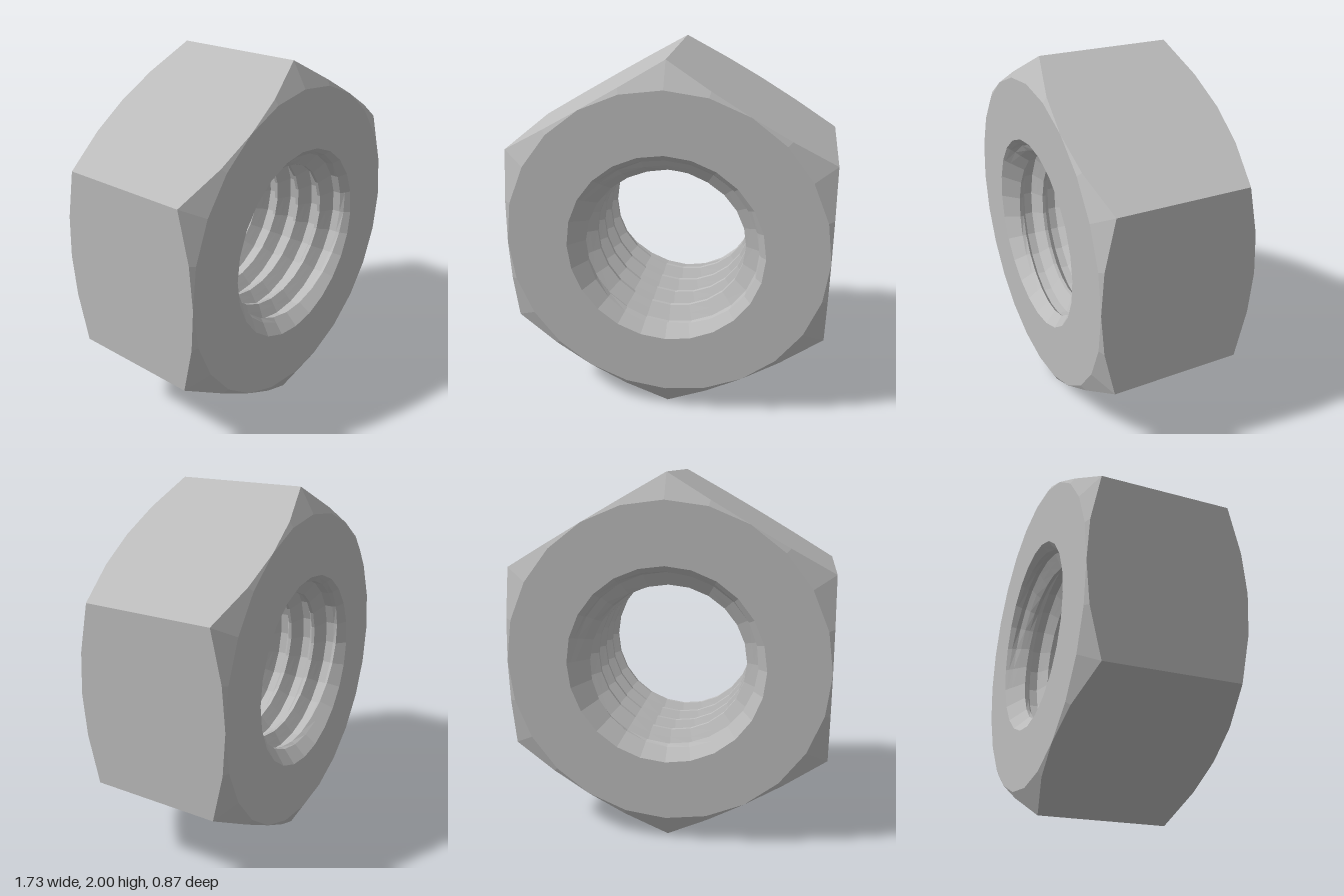
import * as THREE from 'three';

const SEG = 24;          // steps around the axis
const H = 0.433;         // half thickness
const FLAT = 0.866;      // distance from axis to each flat
const RIM = 0.535;       // countersink radius at the faces
const MINOR = 0.42;      // thread crest radius
const MAJOR = 0.497;     // thread root radius
const PITCH = 0.155;

// Lofts rows of points around the axis; point(row, angle) returns [radius, z]
function loft(rows, point) {
  const pos = [];
  const at = (row, i) => {
    const a = (i / SEG) * Math.PI * 2;
    const [r, z] = point(row, a);
    return new THREE.Vector3(Math.sin(a) * -r, Math.cos(a) * r, z);
  };
  const tri = (a, b, c) => {
    const area = b.clone().sub(a).cross(c.clone().sub(a)).length();
    if (area > 1e-7) for (const p of [a, b, c]) pos.push(p.x, p.y, p.z);
  };
  for (let j = 0; j < rows.length - 1; j++) {
    for (let i = 0; i < SEG; i++) {
      const a = at(rows[j], i), b = at(rows[j + 1], i);
      const c = at(rows[j + 1], i + 1), d = at(rows[j], i + 1);
      tri(a, b, c);
      tri(a, c, d);
    }
  }
  const geo = new THREE.BufferGeometry();
  geo.setAttribute('position', new THREE.Float32BufferAttribute(pos, 3));
  geo.computeVertexNormals();
  return geo;
}

// Hexagon radius at an angle, with a corner pointing straight up
function hexRadius(a) {
  const sector = Math.PI / 3;
  const t = ((a % sector) + sector) % sector;
  return FLAT / Math.cos(t - sector / 2);
}

// Chamfered hexagonal body: face ring, conical corner chamfer, flats, and back again
function bodyPoint(row, a) {
  const hex = hexRadius(a);
  const edge = H - (hex - FLAT) * 0.567;
  return [[RIM, H], [FLAT, H], [hex, edge], [hex, -edge], [FLAT, -H], [RIM, -H]][row];
}

// Right-handed helical thread, cut by a countersink at both ends
const PROFILE = [
  [0, MINOR], [0.12, MINOR], [0.265, (MINOR + MAJOR) / 2], [0.41, MAJOR],
  [0.56, MAJOR], [0.71, MAJOR], [0.855, (MINOR + MAJOR) / 2],
];
function threadPoint([z0, radius], a) {
  const z = THREE.MathUtils.clamp(z0 + (PITCH * a) / (Math.PI * 2), -H, H);
  const countersink = RIM - (H - Math.abs(z));
  return [Math.abs(z) >= H ? RIM : Math.max(radius, countersink), z];
}

export function createModel() {
  const steel = new THREE.MeshStandardMaterial({ color: 0xbcbcbc, flatShading: true });
  steel.name = 'steel grey';
  const group = new THREE.Group();
  group.name = 'hexNut';

  const body = new THREE.Mesh(loft([0, 1, 2, 3, 4, 5], bodyPoint), steel);
  body.name = 'hexBody';

  // Profile repeated along the axis, starting and ending beyond the faces
  const rows = [];
  for (let turn = -5; turn <= 4; turn++) {
    for (const [t, r] of PROFILE) rows.push([(turn + t) * PITCH, r]);
  }
  const thread = new THREE.Mesh(loft(rows, threadPoint), steel);
  thread.name = 'threadedBore';

  for (const mesh of [body, thread]) {
    mesh.position.y = 1;
    group.add(mesh);
  }
  return group;
}
